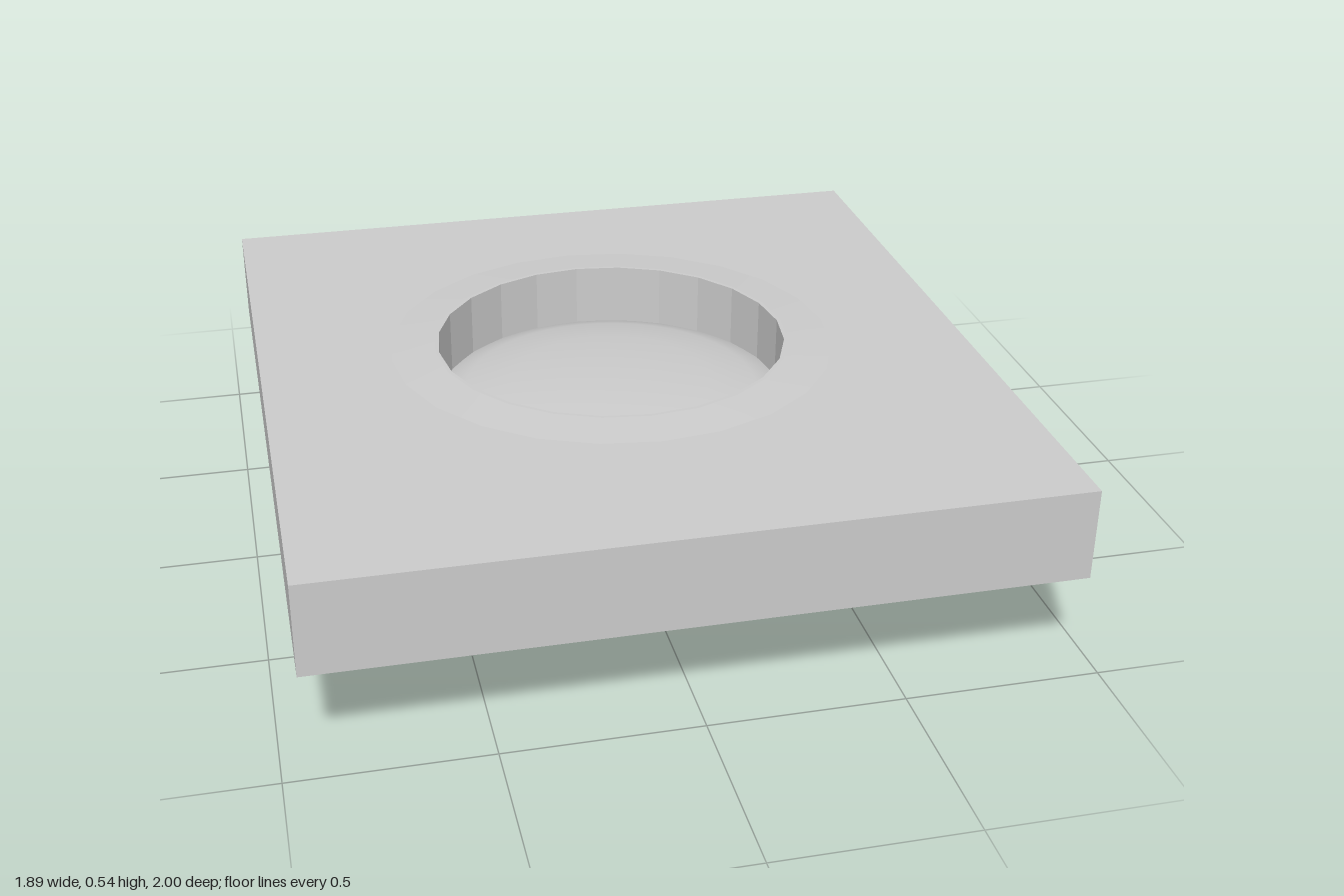
import * as THREE from 'three';
import { toCreasedNormals } from 'three/addons/utils/BufferGeometryUtils.js';

const material = new THREE.MeshStandardMaterial({ color: 0xcccccc });

function addMesh(parent, name, geometry) {
  const mesh = new THREE.Mesh(geometry, material);
  mesh.name = name;
  parent.add(mesh);
  return mesh;
}

// Revolved profile of [radius, y] pairs, with edges above the crease angle kept sharp
function lathe(profile, segments, crease) {
  const points = profile.map(([r, y]) => new THREE.Vector2(r, y));
  return toCreasedNormals(new THREE.LatheGeometry(points, segments), crease);
}

export function createModel() {
  const model = new THREE.Group();
  model.name = 'floorHatch';

  // Thick floor slab with a round opening
  const outline = new THREE.Shape([[-0.945, -1], [0.945, -1], [0.945, 1], [-0.945, 1]]
    .map(([x, y]) => new THREE.Vector2(x, y)));
  const opening = new THREE.Path();
  opening.absarc(0, 0.06, 0.5, 0, Math.PI * 2, true);
  outline.holes.push(opening);
  const slab = new THREE.ExtrudeGeometry(outline, { depth: 0.24, bevelEnabled: false, curveSegments: 24 });
  slab.rotateX(-Math.PI / 2).translate(0, 0.285, 0);
  addMesh(model, 'slab', slab);

  // Everything round shares an axis slightly behind the slab centre
  const hatch = new THREE.Group();
  hatch.name = 'hatch';
  hatch.position.z = -0.06;
  model.add(hatch);

  // Faceted sleeve lining the opening, with a sloped top rim and a lower flange
  addMesh(hatch, 'sleeve', lathe([
    [0.47, 0.265], [0.61, 0.265], [0.61, 0.285], [0.51, 0.285], [0.51, 0.524],
    [0.61, 0.524], [0.48, 0.535], [0.47, 0.535], [0.47, 0.265],
  ], 24, 0.05));

  // Lid: chamfered underside and gently domed top
  addMesh(hatch, 'lid', lathe([
    [0, 0.12], [0.34, 0.12], [0.375, 0.126], [0.405, 0.142], [0.515, 0.222], [0.52, 0.23],
    [0.52, 0.27], [0.5, 0.28], [0.5, 0.34], [0.47, 0.365], [0.4, 0.388],
    [0.27, 0.408], [0.13, 0.417], [0, 0.42],
  ], 48, 0.6));

  // Stem carrying the hand wheel
  const stem = addMesh(hatch, 'stem', new THREE.CylinderGeometry(0.05, 0.05, 0.1, 24));
  stem.position.y = 0.08;

  const wheel = new THREE.Group();
  wheel.name = 'handWheel';
  wheel.position.y = 0.045;
  hatch.add(wheel);
  const rim = new THREE.TorusGeometry(0.31, 0.025, 16, 48).rotateX(Math.PI / 2);
  addMesh(wheel, 'wheelRim', rim);

  // Four diagonal spokes that swell before meeting the rim
  const spoke = lathe([
    [0.022, 0], [0.02, 0.1], [0.024, 0.18], [0.045, 0.24], [0.028, 0.28], [0.015, 0.31],
  ], 16, 1);
  spoke.rotateZ(-Math.PI / 2);
  for (let i = 0; i < 4; i++) {
    addMesh(wheel, 'spoke', spoke).rotation.y = Math.PI / 4 + i * Math.PI / 2;
  }

  return model;
}
